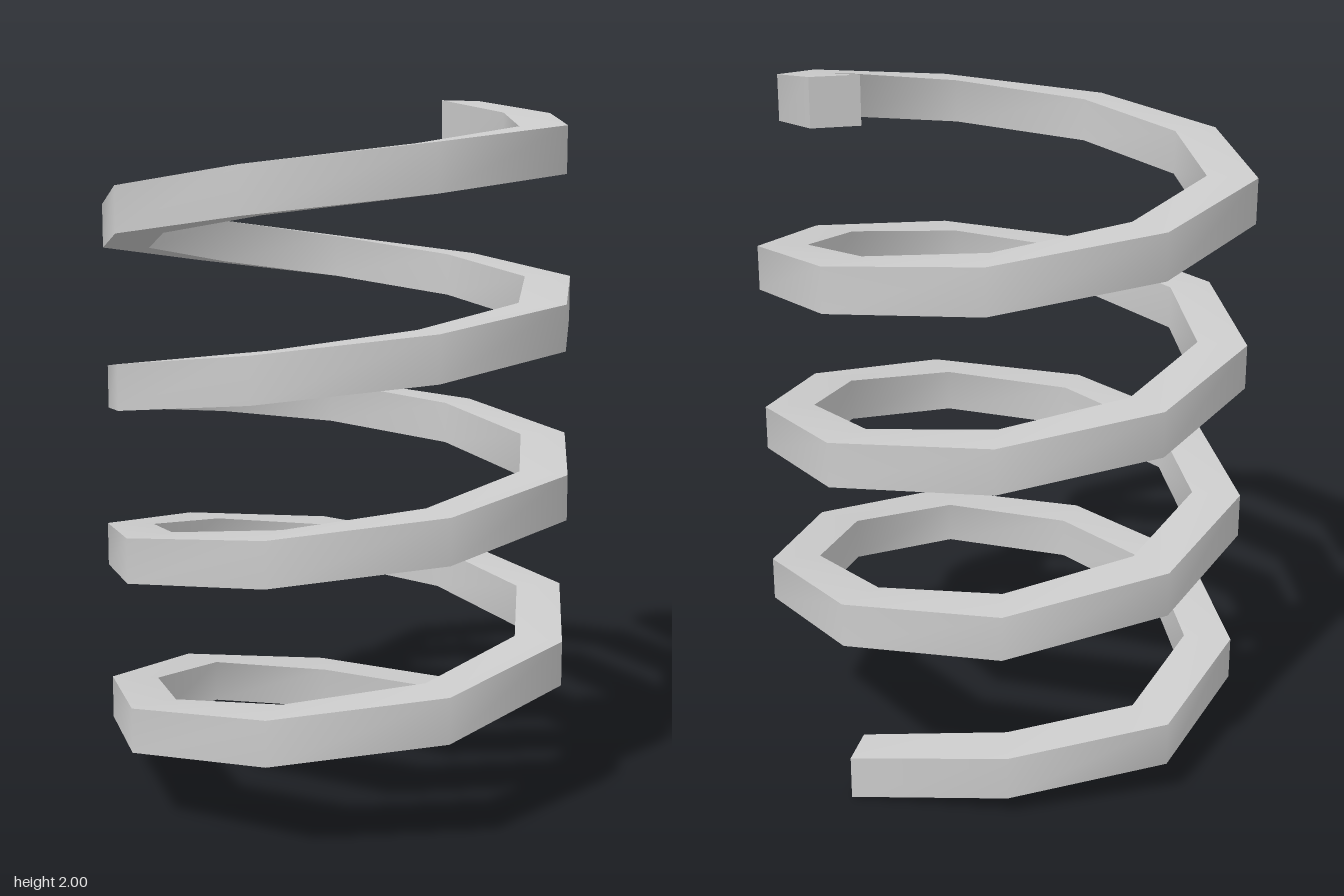
import * as THREE from 'three';
import { toCreasedNormals } from 'three/addons/utils/BufferGeometryUtils.js';

const SEGMENTS = 36, TURNS = 4, HALF_HEIGHT = 0.0625, CENTRE_X = -0.015;
const RISE = (2 - 2 * HALF_HEIGHT) / (TURNS * 360); // height gained per degree
// Angle offsets and centre radii near each end of the coil
const NUDGE = [0, 2.8, 3, 2, 3.3, 1.4, 1.4, 1.8, 1.8];
const RADII = [0.62, 0.545, 0.62, 0.614, 0.626, 0.618, 0.626, 0.613, 0.622, 0.605];

// Four corners of the bar's section at station k; the second half mirrors the first
function section(k) {
  const flip = k > SEGMENTS / 2;
  const i = flip ? SEGMENTS - k : k;
  const nudge = NUDGE[i] ?? (i < 17 ? 1.5 : 0);
  const degrees = i * 40 + nudge;
  const radius = RADII[i] ?? 0.62;
  const a = THREE.MathUtils.degToRad(degrees);
  // End caps are square to the first straight length of bar
  const tilt = i === 0 ? Math.PI / 6 : a;
  const half = i === 0 ? 0.064 : 0.069;
  const y = HALF_HEIGHT + RISE * degrees;
  const corner = (u, v) => {
    const x = CENTRE_X + radius * Math.cos(a) + u * half * Math.cos(tilt);
    const z = -radius * Math.sin(a) - u * half * Math.sin(tilt);
    return [x, (flip ? 2 - y : y) + v * HALF_HEIGHT, flip ? -z : z];
  };
  return [corner(1, -1), corner(1, 1), corner(-1, 1), corner(-1, -1)];
}

function coilGeometry() {
  const positions = [], index = [];
  for (let k = 0; k <= SEGMENTS; k++) positions.push(...section(k).flat());
  const quad = (a, b, c, d) => index.push(a, b, c, a, c, d);
  for (let k = 0; k < SEGMENTS; k++) {
    for (let j = 0; j < 4; j++) {
      const n = (j + 1) % 4, p = k * 4, q = p + 4;
      quad(p + j, q + j, q + n, p + n);
    }
  }
  // End caps
  const e = SEGMENTS * 4;
  quad(0, 1, 2, 3);
  quad(e + 3, e + 2, e + 1, e);
  const geometry = new THREE.BufferGeometry();
  geometry.setAttribute('position', new THREE.Float32BufferAttribute(positions, 3));
  geometry.setIndex(index);
  return toCreasedNormals(geometry, Math.PI / 3);
}

export function createModel() {
  const group = new THREE.Group();
  group.name = 'spring';
  const coil = new THREE.Mesh(coilGeometry(), new THREE.MeshStandardMaterial({ color: 0xcccccc }));
  coil.name = 'coil';
  group.add(coil);
  return group;
}
